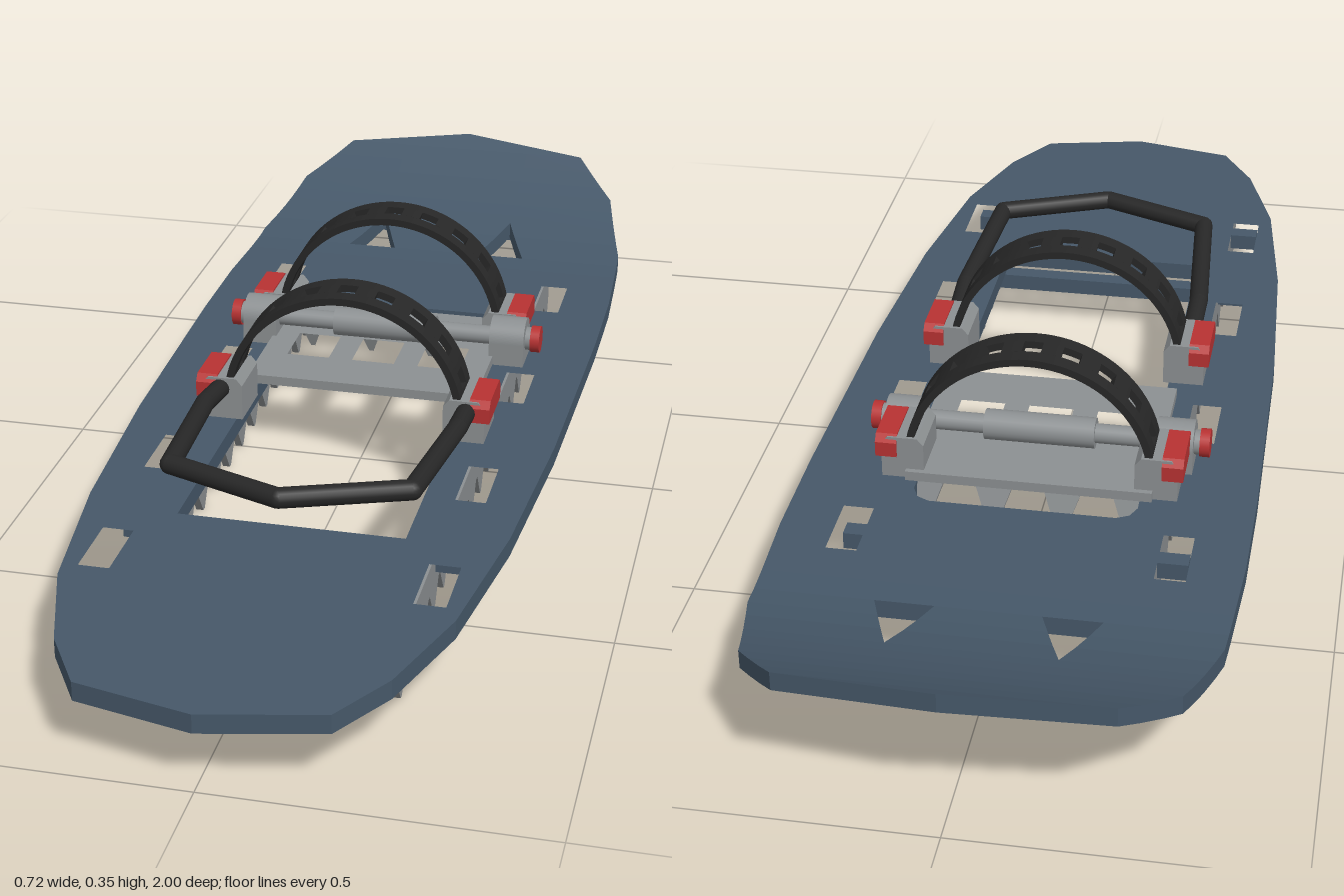
import * as THREE from 'three';

const mat = (name, color) => {
  const m = new THREE.MeshStandardMaterial({ color, flatShading: false });
  m.name = name;
  return m;
};

export function createModel() {
  const model = new THREE.Group();
  const blue = mat('deck blue', 0x465869);
  const grey = mat('metal grey', 0x8c9092);
  const black = mat('strap black', 0x272727);
  const red = mat('buckle red', 0xb83232);

  const add = (name, geo, material, x = 0, y = 0, z = 0) => {
    const mesh = new THREE.Mesh(geo, material);
    mesh.name = name;
    mesh.position.set(x, y, z);
    model.add(mesh);
    return mesh;
  };
  const box = (name, m, x0, x1, y0, y1, z0, z1) =>
    add(name, new THREE.BoxGeometry(x1 - x0, y1 - y0, z1 - z0), m, (x0 + x1) / 2, (y0 + y1) / 2, (z0 + z1) / 2);
  const poly = pts => new THREE.Shape(pts.map(p => new THREE.Vector2(...p)));
  const rect = (x0, x1, z0, z1) => poly([[x0, -z0], [x1, -z0], [x1, -z1], [x0, -z1]]);
  const extrude = (shape, depth) => new THREE.ExtrudeGeometry(shape, { depth, bevelEnabled: false, curveSegments: 24 });
  const slab = (shape, depth) => extrude(shape, depth).rotateX(-Math.PI / 2);
  // Side profile drawn as (z, y), given a thickness along x
  const side = (shape, t) => extrude(shape, t).translate(0, 0, -t / 2).rotateY(-Math.PI / 2);

  // Half widths of the deck as [x, z] from nose to tail
  const outline = [[0, -1], [0.235, -0.965], [0.31, -0.865], [0.35, -0.69], [0.36, -0.475], [0.36, -0.29],
    [0.35, 0.13], [0.33, 0.44], [0.295, 0.69], [0.24, 0.86], [0.18, 0.96], [0, 1]];
  const halfWidth = z => {
    const i = Math.max(1, outline.findIndex(p => p[1] >= z));
    const [a, b] = [outline[i - 1], outline[i]];
    return a[0] + (b[0] - a[0]) * (z - a[1]) / (b[1] - a[1]);
  };
  const bend = -0.6, under = 0.095, thick = 0.03;
  const lift = z => 0.122 * Math.max(0, (bend - z) / 0.4) ** 2;

  // Flat deck with binding opening and side slots
  const rim = [[halfWidth(bend), bend], ...outline.filter(p => p[1] > bend)];
  const deck = poly([...rim.map(([x, z]) => [x, -z]), ...rim.slice(0, -1).reverse().map(([x, z]) => [-x, -z])]);
  deck.holes.push(poly([[-0.178, -0.475], [0.178, -0.475], [0.178, 0.345], [0.168, 0.367], [0.148, 0.377],
    [-0.148, 0.377], [-0.168, 0.367], [-0.178, 0.345]]));
  for (const s of [-1, 1]) for (const z of [-0.47, -0.08, 0.28, 0.6])
    deck.holes.push(rect(s * 0.251 - 0.024, s * 0.251 + 0.024, z - 0.058, z + 0.058));
  add('deck', slab(deck, thick), blue, 0, under);

  // Upturned nose in bands, with two triangular holes
  const verts = [];
  const quad = (a, b, c, d) => verts.push(...a, ...b, ...c, ...a, ...c, ...d);
  const rows = [-1, -0.965, -0.93, -0.895, -0.865, -0.83, -0.8, -0.775, -0.73, -0.69, -0.65, -0.65, -0.6].map((z, i) => {
    const h = z > -0.775 && i < 11 ? 0.045 * (z + 0.775) / 0.125 : 0;
    const w = halfWidth(z), c = Math.min(0.125, w);
    return { z, h, y: under + lift(z), x: [-w, -c - h, -c + h, c - h, c + h, w] };
  });
  for (let i = 1; i < rows.length; i++) {
    const p = rows[i - 1], q = rows[i];
    for (const k of [0, 2, 4]) {
      const pt = (r, j, up) => [r.x[k + j], r.y + up * thick, r.z];
      const [a, b, c, d] = [pt(p, 0, 1), pt(q, 0, 1), pt(q, 1, 1), pt(p, 1, 1)];
      const [e, f, g, h] = [pt(p, 0, 0), pt(q, 0, 0), pt(q, 1, 0), pt(p, 1, 0)];
      if (p.z < q.z) {
        quad(a, b, c, d);
        quad(h, g, f, e);
      }
      const hole = p.h + q.h > 0;
      if (k === 4 || hole) quad(d, c, g, h);
      if (k === 0 || hole) quad(e, f, b, a);
    }
  }
  const nose = new THREE.BufferGeometry();
  nose.setAttribute('position', new THREE.Float32BufferAttribute(verts, 3));
  nose.computeVertexNormals();
  add('upturnedNose', nose, blue);

  // Cross ribs under the deck
  for (const z of [-0.43, 0.45, 0.68]) box('crossRib', blue, -0.27, 0.27, 0.068, 0.096, z - 0.015, z + 0.015);
  box('noseRib', blue, -0.27, 0.27, 0.107, 0.135, -0.82, -0.787);

  // Toothed traction rails
  const saw = [[-0.66, 0.097], [-0.66, 0.048]];
  for (let i = 0; i < 18; i++) {
    const z = -0.64 + i * 0.0795;
    saw.push([Math.max(z - 0.034, -0.659), 0.048], [z - 0.004, 0.002], [z + 0.004, 0.002], [z + 0.034, 0.048]);
  }
  saw.push([0.77, 0.048], [0.77, 0.097]);
  for (const s of [-1, 1]) add('tractionRail', side(poly(saw), 0.012), grey, s * 0.216);

  // Foot plate with windows and toe claws
  const plate = rect(-0.197, 0.197, -0.325, 0);
  for (const x of [-0.115, 0, 0.115]) plate.holes.push(rect(x - 0.037, x + 0.037, -0.185, -0.095));
  add('footPlate', slab(plate, 0.016), grey, 0, 0.125);
  for (const x of [-0.165, -0.055, 0.055, 0.165]) {
    const claw = extrude(poly([[-0.03, 0], [-0.004, -0.075], [0.004, -0.075], [0.03, 0]]), 0.012);
    add('toeClaw', claw, grey, x, 0.127, -0.32).rotation.x = 0.3;
  }

  // Pivot axle, sleeve and end knobs
  const rod = (name, r, x0, x1, m) =>
    add(name, new THREE.CylinderGeometry(r, r, x1 - x0, 24).rotateZ(Math.PI / 2), m, (x0 + x1) / 2, 0.165, -0.2);
  rod('axle', 0.016, -0.25, 0.25, grey);
  rod('axleSleeve', 0.025, -0.09, 0.09, grey);
  for (const s of [-1, 1]) {
    const bracket = new THREE.Shape();
    bracket.moveTo(-0.036, 0);
    bracket.lineTo(0.036, 0);
    bracket.lineTo(0.036, 0.04);
    bracket.absarc(0, 0.04, 0.036, 0, Math.PI);
    add('pivotBracket', side(bracket, 0.06), grey, s * 0.22, 0.125, -0.2);
    rod('washer', 0.02, s * 0.255 - 0.008, s * 0.255 + 0.008, grey);
    rod('knob', 0.023, s * 0.267 - 0.008, s * 0.267 + 0.008, red);
  }

  // Perforated arched straps with their mounts and buckles
  const sector = (a0, a1, z0, z1) => {
    const s = new THREE.Shape();
    s.absarc(0, 0, 0.2, a0, a1, false);
    s.absarc(0, 0, 0.188, a1, a0, true);
    return extrude(s, z1 - z0).translate(0, 0, z0);
  };
  const deg = Math.PI / 180;
  for (const z of [0.092, -0.268]) {
    for (const s of [-1, 1]) add('strapEdge', sector(0, Math.PI, s * 0.029 - 0.0135, s * 0.029 + 0.0135), black, 0, 0.155, z);
    for (let i = 0; i <= 9; i++) {
      const mid = (9 + i * 18) * deg;
      add('strapBridge', sector(mid - 4.7 * deg, mid + 4.7 * deg, -0.016, 0.016), black, 0, 0.155, z);
    }
    for (const s of [-1, 1]) {
      const mount = poly([[-0.034, 0], [0.034, 0], [0.034, 0.06], [0.024, 0.072], [-0.024, 0.072], [-0.034, 0.06]]);
      add('strapMount', extrude(mount, 0.096).translate(0, 0, -0.048), grey, s * 0.202, 0.125, z);
      const clasp = poly([[-0.052, 0.163], [0.052, 0.163], [0.052, 0.188], [0.042, 0.2], [-0.042, 0.2], [-0.052, 0.188]]);
      add('buckle', side(clasp, 0.034), red, s * 0.228, 0, z);
    }
  }

  // Heel loop from straight tubes with rounded joints
  const half = [[0.205, 0.175, 0.12], [0.207, 0.19, 0.22], [0.187, 0.209, 0.475]];
  const path = [...half, [0, 0.211, 0.548], ...half.slice().reverse().map(([x, y, z]) => [-x, y, z])]
    .map(p => new THREE.Vector3(...p));
  path.forEach((p, i) => {
    add('heelLoopJoint', new THREE.SphereGeometry(0.016, 16, 10), black, p.x, p.y, p.z);
    if (!i) return;
    const d = p.clone().sub(path[i - 1]);
    const tube = add('heelLoop', new THREE.CylinderGeometry(0.016, 0.016, d.length(), 16), black);
    tube.position.copy(p).add(path[i - 1]).multiplyScalar(0.5);
    tube.quaternion.setFromUnitVectors(new THREE.Vector3(0, 1, 0), d.normalize());
  });

  return model;
}
